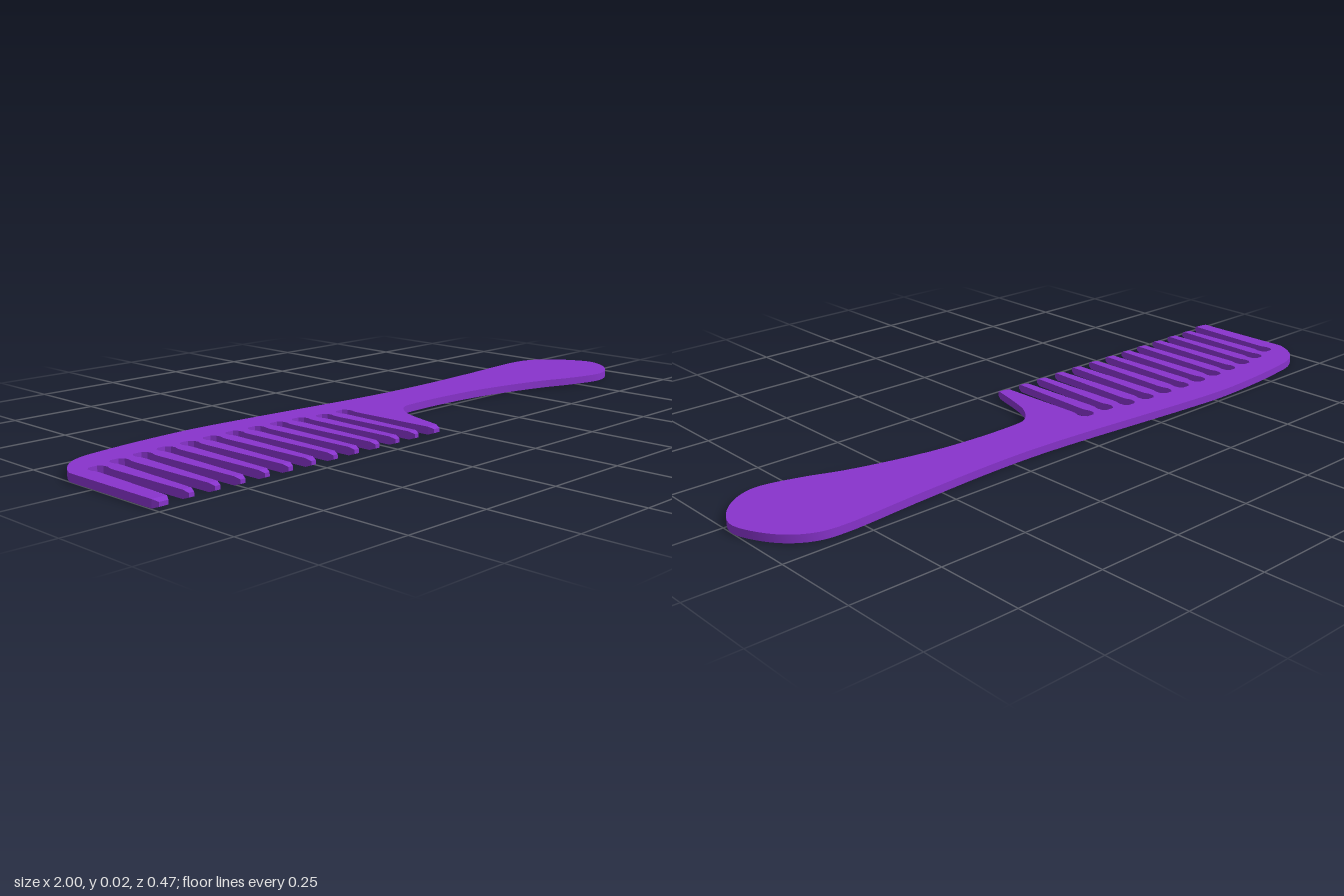
import * as THREE from 'three';
import { toCreasedNormals } from 'three/addons/utils/BufferGeometryUtils.js';

const THICK = 0.022;
const TIP = 0.016; // length of the chamfered end of each tooth
const PITCH = 0.075;
const FIRST_GAP = -0.93;
// z of the rounded root of each gap, from the outer end inwards
const ROOTS = [-0.105, -0.125, -0.135, -0.14, -0.143, -0.145, -0.145, -0.143, -0.14, -0.135, -0.12, -0.117];
const LAST = ROOTS.length;

// z of the end of tooth i
const toothEnd = (i) => (i === 0 ? 0.235 : 0.226 - 0.0008 * i);
const gapX = (i) => FIRST_GAP + i * PITCH;
// left and right sides of tooth i at its end
const toothSides = (i) => [
  i === 0 ? -0.997 : gapX(i - 1) + 0.025,
  i === LAST ? -0.045 : gapX(i) - 0.025,
];

function smooth(points, divisions) {
  const curve = new THREE.CatmullRomCurve3(points.map(([x, z]) => new THREE.Vector3(x, 0, z)), false, 'centripetal');
  return curve.getPoints(divisions).map((p) => [p.x, p.z]);
}

function combOutline() {
  // Spine, paddle handle and the curve down into the last tooth
  const edge = smooth([
    [-1, -0.095], [-0.983, -0.13], [-0.947, -0.173], [-0.9, -0.2], [-0.82, -0.215], [-0.69, -0.229],
    [-0.53, -0.236], [-0.37, -0.227], [-0.18, -0.211], [0.03, -0.193], [0.19, -0.185], [0.35, -0.187],
    [0.57, -0.2], [0.82, -0.217], [0.88, -0.206], [0.935, -0.17], [0.975, -0.115], [1, -0.045],
    [0.99, 0], [0.955, 0.05], [0.905, 0.088], [0.845, 0.105], [0.73, 0.08], [0.62, 0.04],
    [0.41, -0.008], [0.25, -0.023], [0.1, -0.022], [0.06, -0.015], [0.025, 0.015], [0, 0.053],
    [-0.02, 0.11], [-0.04, 0.185], [-0.045, toothEnd(LAST) - TIP],
  ], 130);

  const points = [[-0.997, toothEnd(0) - TIP], ...edge];
  // Gaps between the teeth, each widening to a bulb at its root
  for (let i = LAST - 1; i >= 0; i--) {
    const x = gapX(i), r = ROOTS[i];
    points.push(
      [x + 0.025, toothEnd(i + 1) - TIP],
      ...[[0.018, 0.065], [0.019, 0.045], [0.024, 0.03], [0.022, 0.014], [0.012, 0.003],
        [-0.012, 0.003], [-0.022, 0.014], [-0.024, 0.03], [-0.019, 0.045], [-0.018, 0.065]]
        .map(([dx, dz]) => [x + dx, r + dz]),
      [x - 0.025, toothEnd(i) - TIP],
    );
  }
  return new THREE.Shape(points.map(([x, z]) => new THREE.Vector2(x, -z)));
}

// Box tapered in width and thickness towards +z
function tipGeometry(width) {
  const geo = new THREE.BoxGeometry(width, THICK, TIP);
  const pos = geo.attributes.position;
  for (let i = 0; i < pos.count; i++) {
    if (pos.getZ(i) > 0) pos.setXY(i, pos.getX(i) * 0.6, pos.getY(i) * 0.5);
  }
  geo.computeVertexNormals();
  return geo;
}

export function createModel() {
  const group = new THREE.Group();
  group.name = 'comb';
  const material = new THREE.MeshStandardMaterial({ color: 0x8833cc });

  // Flat body: spine, handle and teeth
  const bodyGeo = new THREE.ExtrudeGeometry(combOutline(), { depth: THICK, bevelEnabled: false });
  bodyGeo.rotateX(-Math.PI / 2);
  const body = new THREE.Mesh(toCreasedNormals(bodyGeo, 0.6), material);
  body.name = 'body';
  group.add(body);

  // Chamfered ends of the teeth
  const tips = new THREE.Group();
  tips.name = 'toothTips';
  for (let i = 0; i <= LAST; i++) {
    const [a, b] = toothSides(i);
    const tip = new THREE.Mesh(tipGeometry(b - a), material);
    tip.name = 'toothTip';
    tip.position.set((a + b) / 2, THICK / 2, toothEnd(i) - TIP / 2);
    tips.add(tip);
  }
  group.add(tips);
  return group;
}
